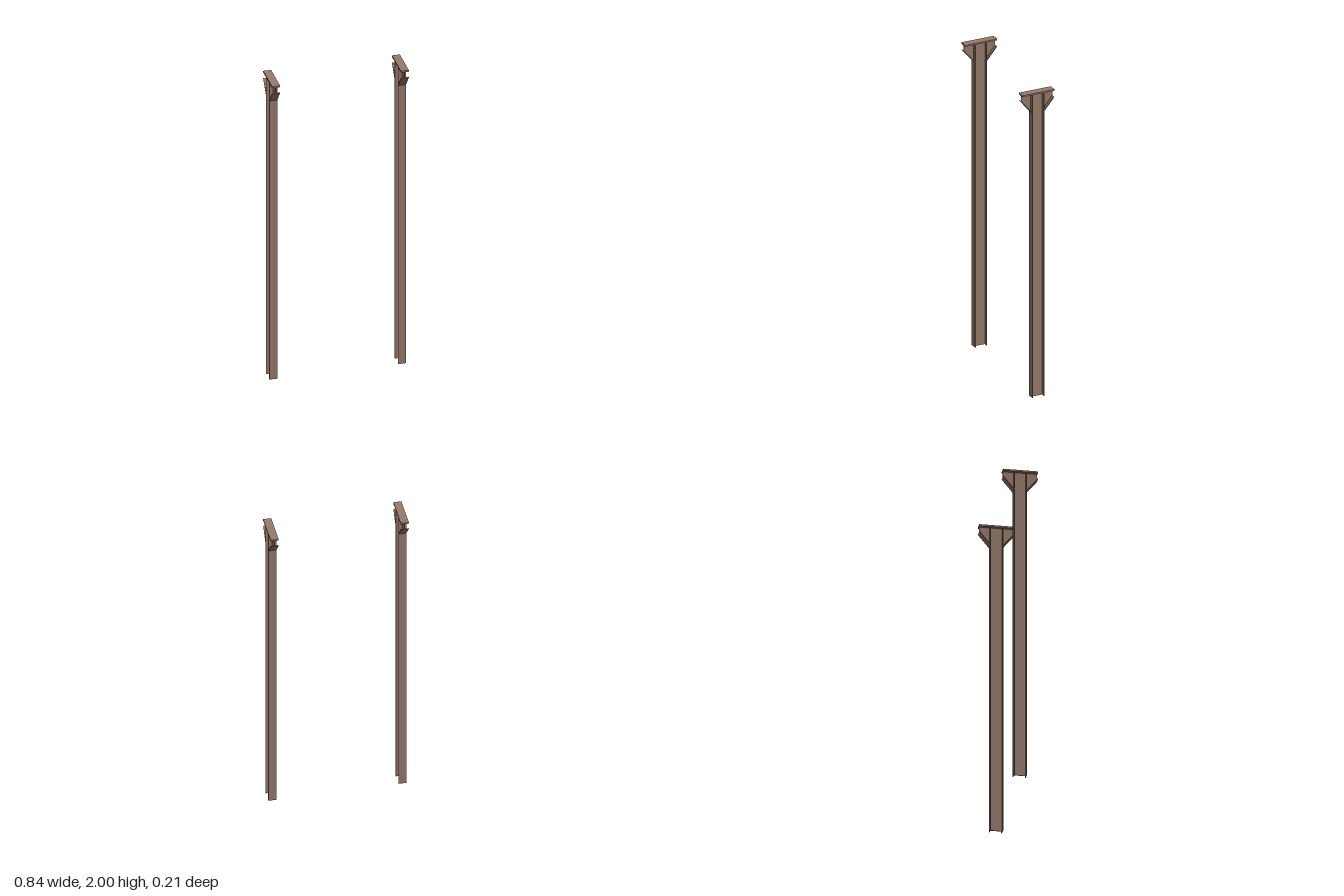
import * as THREE from 'three';

const STEEL = new THREE.MeshStandardMaterial({ color: 0x967b6b });
STEEL.name = 'brown steel';

const WIDTH = 0.049;    // flange width
const DEPTH = 0.08;     // column depth
const FLANGE = 0.005;   // flange thickness
const WEB = 0.004;      // web thickness
const HEIGHT = 2;
const CAP = 0.01;       // cap plate thickness
const REACH = 0.106;    // half length of the cap plate

function box(name, w, h, d, x, y, z) {
  const mesh = new THREE.Mesh(new THREE.BoxGeometry(w, h, d), STEEL);
  mesh.name = name;
  mesh.position.set(x, y, z);
  return mesh;
}

// Extrudes a (z, y) outline along x, centred on x = 0
function sidePlate(name, points, thickness) {
  const shape = new THREE.Shape(points.map(([z, y]) => new THREE.Vector2(z, y)));
  const geo = new THREE.ExtrudeGeometry(shape, { depth: thickness, bevelEnabled: false });
  geo.translate(0, 0, -thickness / 2);
  geo.rotateY(-Math.PI / 2);
  const mesh = new THREE.Mesh(geo, STEEL);
  mesh.name = name;
  return mesh;
}

// Triangular bracket: upright web and sloping bottom flange
function bracket() {
  const g = new THREE.Group();
  g.name = 'bracket';
  const z0 = DEPTH / 2, top = HEIGHT - CAP;
  g.add(sidePlate('bracketWeb',
    [[z0, 1.872], [REACH - 0.002, 1.95], [REACH - 0.002, top], [z0, top]], WEB));
  g.add(sidePlate('bracketFlange',
    [[z0, 1.87], [REACH, 1.95], [REACH - 0.004, 1.953], [z0, 1.877]], WIDTH));
  return g;
}

function column() {
  const g = new THREE.Group();
  g.name = 'column';
  const h = HEIGHT - CAP;
  g.add(box('web', WEB, h, DEPTH - 2 * FLANGE, 0, h / 2, 0));
  for (const s of [-1, 1]) {
    g.add(box('flange', WIDTH, h, FLANGE, 0, h / 2, s * (DEPTH - FLANGE) / 2));
    const b = bracket();
    if (s < 0) b.rotation.y = Math.PI;
    g.add(b);
  }
  g.add(box('capPlate', WIDTH, CAP, 2 * REACH, 0, HEIGHT - CAP / 2, 0));
  return g;
}

export function createModel() {
  const model = new THREE.Group();
  model.name = 'steelColumns';
  for (const s of [-1, 1]) {
    const c = column();
    c.name = s > 0 ? 'leftColumn' : 'rightColumn';
    c.position.x = s * 0.397;
    model.add(c);
  }
  return model;
}
